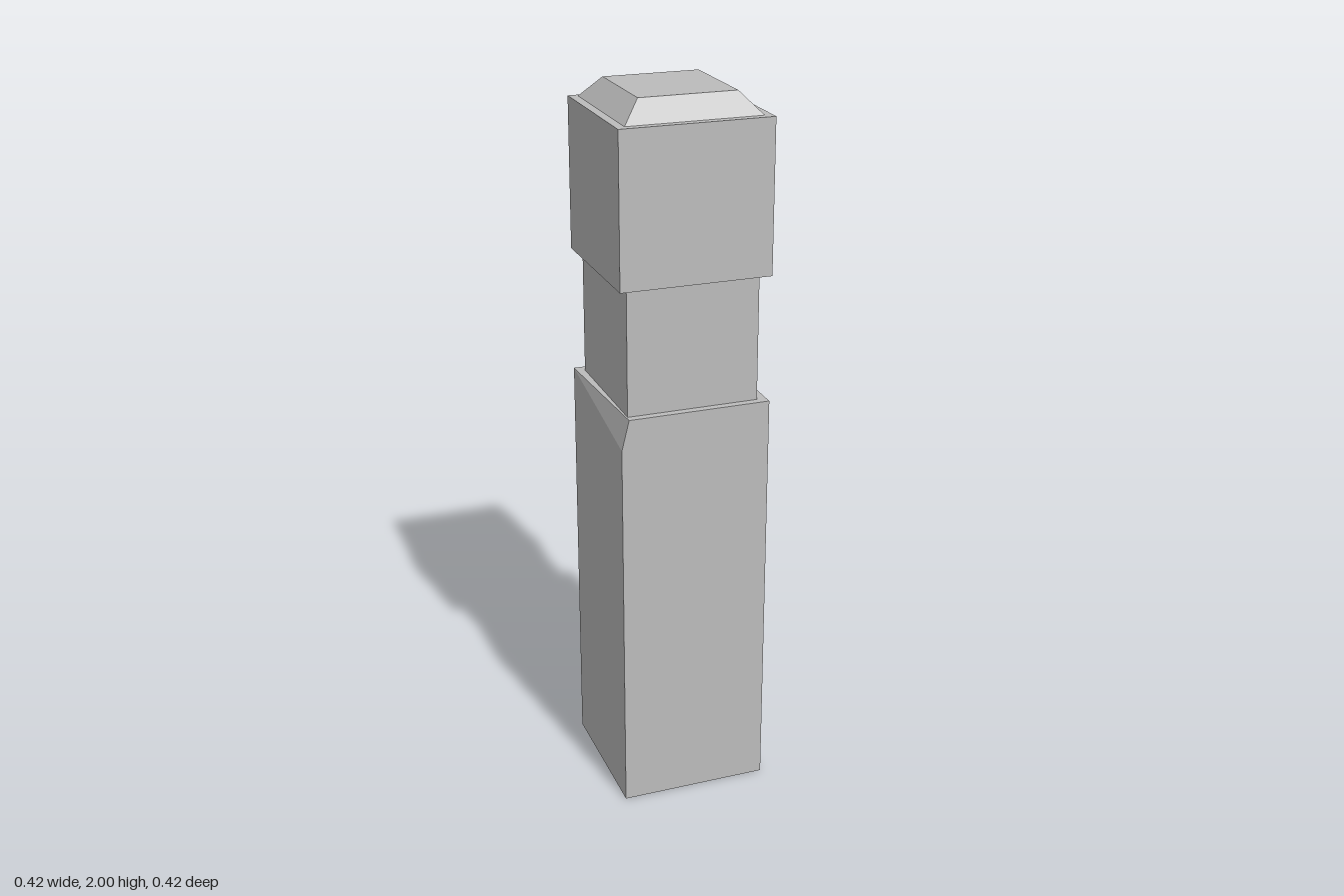
import * as THREE from 'three';

// Rectangular cross-section: corners front-left-of-view, then counter-clockwise
const ring = (y, x0, x1, z0, z1) => [[x0, y, z1], [x1, y, z1], [x1, y, z0], [x0, y, z0]];
const square = (y, r) => ring(y, -r, r, -r, r);

// Joins successive cross-sections with flat-sided quads; optionally closes the top
function loft(name, rings, material, closeTop = false) {
  const positions = [];
  const quad = (a, b, c, d) => positions.push(...a, ...b, ...d, ...b, ...c, ...d);
  for (let k = 0; k < rings.length - 1; k++) {
    for (let i = 0; i < 4; i++) {
      const j = (i + 1) % 4;
      quad(rings[k][i], rings[k][j], rings[k + 1][j], rings[k + 1][i]);
    }
  }
  if (closeTop) quad(...rings[rings.length - 1]);
  const geometry = new THREE.BufferGeometry();
  geometry.setAttribute('position', new THREE.Float32BufferAttribute(positions, 3));
  geometry.computeVertexNormals();
  const mesh = new THREE.Mesh(geometry, material);
  mesh.name = name;
  return mesh;
}

export function createModel() {
  const group = new THREE.Group();
  group.name = 'post';
  const stone = new THREE.MeshStandardMaterial({ color: 0xbcbcbc, side: THREE.DoubleSide });
  stone.name = 'grey stone';

  const R = 0.209;
  const neckAt = (y) => ring(y, -0.185, 0.182, -0.182, 0.187);
  const capBase = ring(1.943, -0.185, 0.187, -0.195, 0.187);

  // Shaft, open underneath, with one chipped top corner
  const shaftTop = square(1.175, R);
  shaftTop[0][0] = -0.188;
  group.add(loft('shaft', [square(0, R), square(1.09, R), shaftTop, neckAt(1.175)], stone));

  // Recessed neck
  group.add(loft('neck', [neckAt(1.175), neckAt(1.525)], stone));

  // Head block with its underside and upper ledge
  group.add(loft('headBlock', [neckAt(1.525), square(1.525, R), square(1.943, R), capBase], stone));

  // Bevelled cap
  group.add(loft('cap', [capBase, ring(2, -0.133, 0.135, -0.143, 0.136)], stone, true));

  return group;
}
